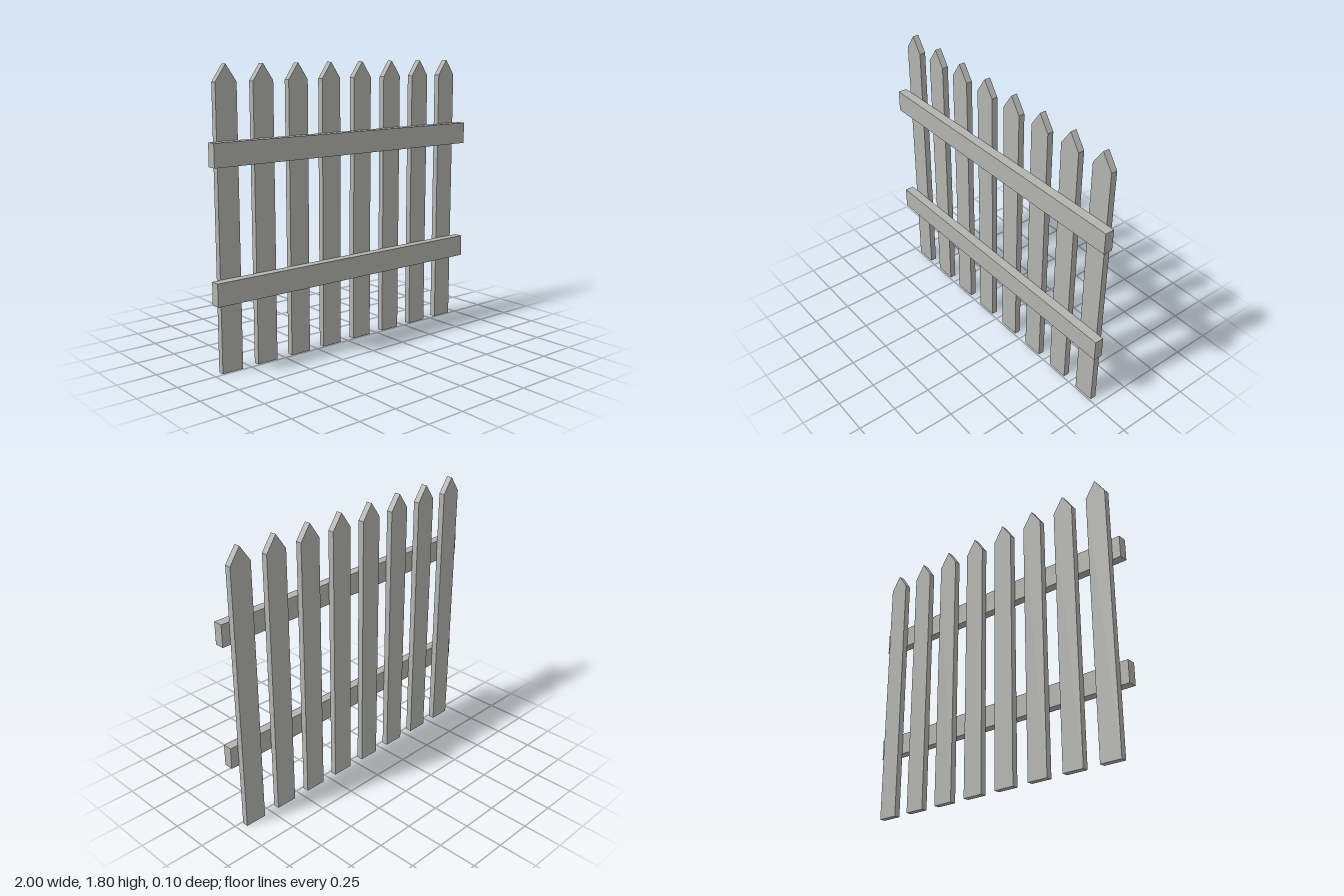
import * as THREE from 'three';

export function createModel() {
  const fence = new THREE.Group();
  fence.name = 'picketFence';
  const wood = new THREE.MeshStandardMaterial({ color: 0xb3b3b1 });
  wood.name = 'greyWood';

  // Pointed picket outline, extruded to board thickness
  const half = 0.07, shoulder = 1.7, tip = 1.8;
  const outline = new THREE.Shape([
    new THREE.Vector2(-half, 0),
    new THREE.Vector2(half, 0),
    new THREE.Vector2(half, shoulder),
    new THREE.Vector2(0, tip),
    new THREE.Vector2(-half, shoulder),
  ]);
  const picketGeometry = new THREE.ExtrudeGeometry(outline, { depth: 0.04, bevelEnabled: false });

  // Eight evenly spaced pickets behind the rails
  for (let i = 0; i < 8; i++) {
    const picket = new THREE.Mesh(picketGeometry, wood);
    picket.name = `picket${i + 1}`;
    picket.position.set((i - 3.5) * 0.25, 0, -0.05);
    fence.add(picket);
  }

  // Two horizontal rails across the front
  const railGeometry = new THREE.BoxGeometry(2, 0.14, 0.06);
  for (const [name, y] of [['lowerRail', 0.5], ['upperRail', 1.3]]) {
    const rail = new THREE.Mesh(railGeometry, wood);
    rail.name = name;
    rail.position.set(0, y, 0.02);
    fence.add(rail);
  }

  return fence;
}
